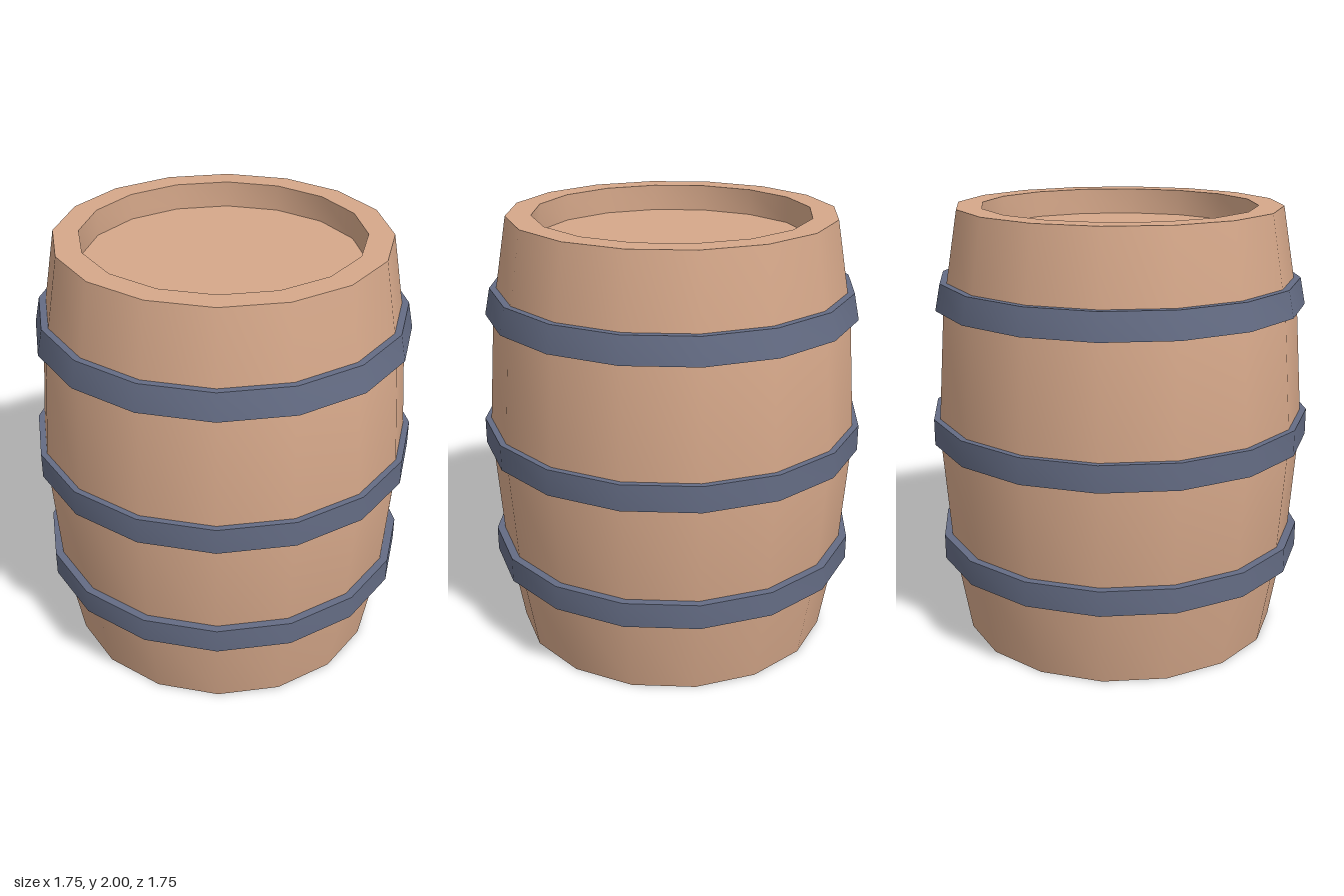
import * as THREE from 'three';
import { toCreasedNormals } from 'three/addons/utils/BufferGeometryUtils.js';

const SIDES = 16;

const wood = new THREE.MeshStandardMaterial({ color: 0xd6a88a });
wood.name = 'wood';
const iron = new THREE.MeshStandardMaterial({ color: 0x646c84 });
iron.name = 'iron';

// Sixteen-sided turned part: smooth around, sharp at rims
function turned(name, profile, material) {
  const points = profile.map(([r, y]) => new THREE.Vector2(r, y));
  const geometry = toCreasedNormals(new THREE.LatheGeometry(points, SIDES), 0.7);
  const mesh = new THREE.Mesh(geometry, material);
  mesh.name = name;
  return mesh;
}

// Hoop given by its outer radius at the lower and upper edges
function hoop(name, y0, y1, r0, r1) {
  return turned(name, [[r0 - 0.08, y0], [r0, y0], [r1, y1], [r1 - 0.08, y1]], iron);
}

export function createModel() {
  const barrel = new THREE.Group();
  barrel.name = 'barrel';

  // Bulging body with a flat base and a rim around the sunken lid
  barrel.add(turned('body', [
    [0, 0], [0.738, 0], [0.812, 0.43], [0.853, 1], [0.812, 1.57], [0.738, 2], [0.625, 2], [0.625, 1.88],
  ], wood));
  barrel.add(turned('lid', [[0.625, 1.88], [0, 1.88]], wood));

  // Three iron hoops
  barrel.add(hoop('lowerHoop', 0.375, 0.49, 0.853, 0.853));
  barrel.add(hoop('middleHoop', 0.94, 1.06, 0.877, 0.877));
  barrel.add(hoop('upperHoop', 1.56, 1.68, 0.848, 0.824));

  return barrel;
}
